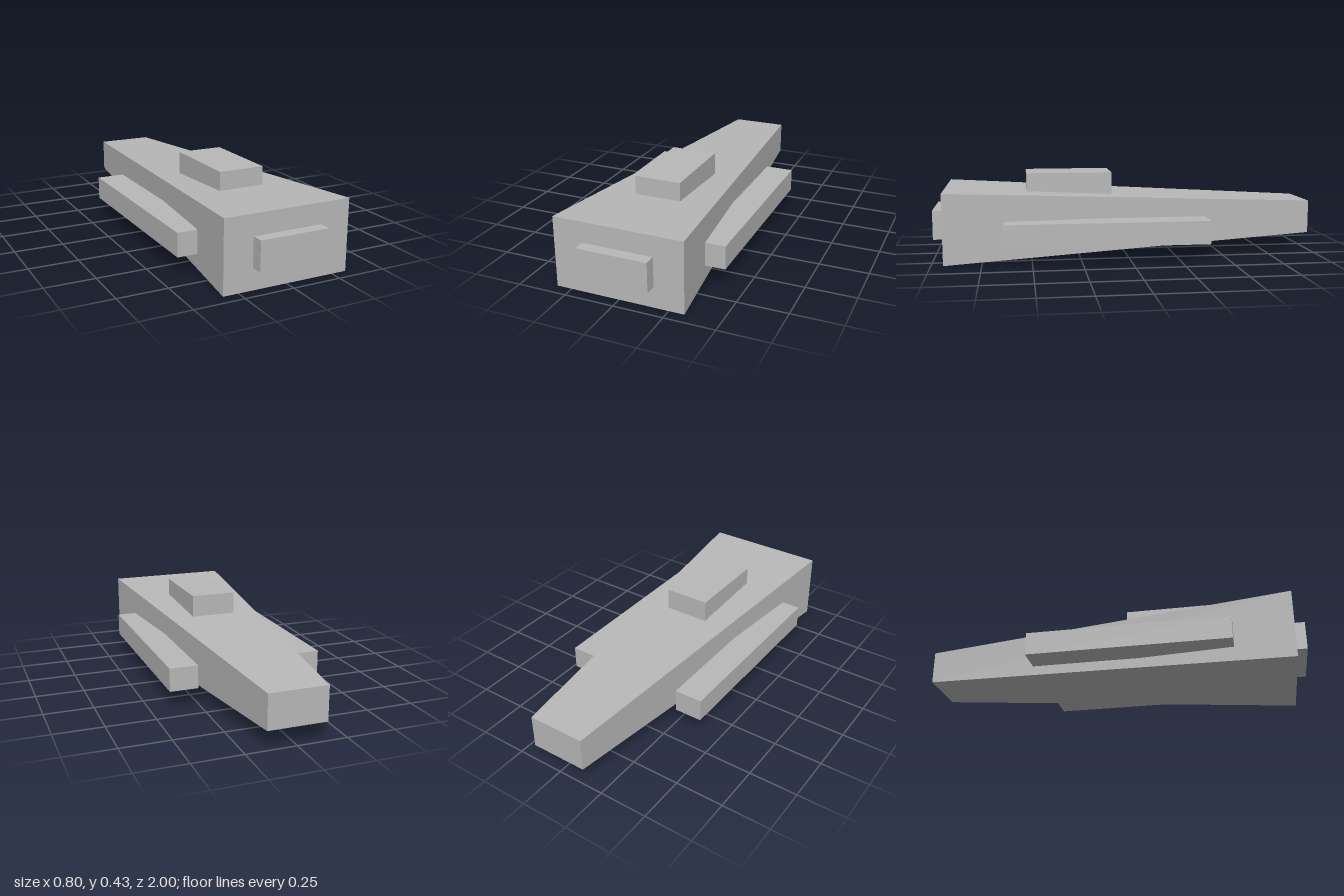
import * as THREE from 'three';

export function createModel() {
  const model = new THREE.Group();
  model.name = 'wedgeCraft';
  const grey = new THREE.MeshStandardMaterial({ color: 0xb8b8b8 });
  grey.name = 'hull grey';

  const addMesh = (name, geometry) => {
    const mesh = new THREE.Mesh(geometry, grey);
    mesh.name = name;
    model.add(mesh);
    return mesh;
  };

  // Box given by its minimum and maximum on each axis
  const addBox = (name, [x0, x1], [y0, y1], [z0, z1]) => {
    const mesh = addMesh(name, new THREE.BoxGeometry(x1 - x0, y1 - y0, z1 - z0));
    mesh.position.set((x0 + x1) / 2, (y0 + y1) / 2, (z0 + z1) / 2);
  };

  // Hull: a box narrowed towards the rear in both width and height
  const front = { z: 0.94, halfWidth: 0.327, halfHeight: 0.18 };
  const rear = { z: -1, halfWidth: 0.148, halfHeight: 0.087 };
  const box = new THREE.BoxGeometry(2, 2, 2);
  const pos = box.attributes.position;
  for (let i = 0; i < pos.count; i++) {
    const end = pos.getZ(i) > 0 ? front : rear;
    pos.setXYZ(i, pos.getX(i) * end.halfWidth, 0.18 + pos.getY(i) * end.halfHeight, end.z);
  }
  const hull = box.toNonIndexed();
  hull.computeVertexNormals();
  addMesh('hull', hull);

  // Raised cabin and front block
  addBox('cabin', [-0.119, 0.119], [0.29, 0.434], [0.075, 0.52]);
  addBox('frontBlock', [-0.178, 0.178], [0.106, 0.255], [0.88, 1]);

  // Long side pods, mirrored
  addBox('leftPod', [0.255, 0.402], [0.09, 0.21], [-0.4, 0.64]);
  addBox('rightPod', [-0.402, -0.255], [0.09, 0.21], [-0.4, 0.64]);

  return model;
}
